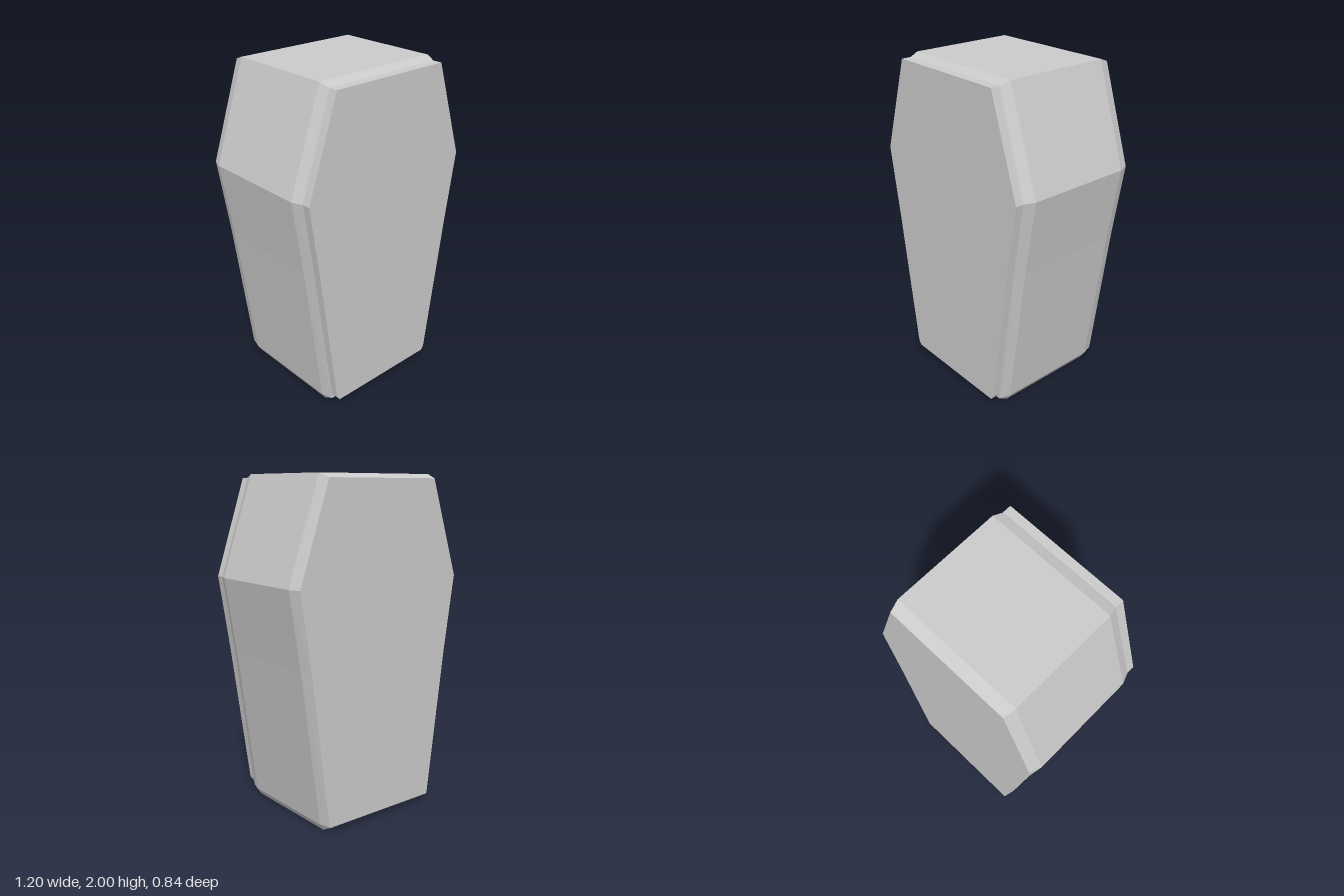
import * as THREE from 'three';

// Right half of an outline, bottom to top, mirrored into a counter-clockwise ring at depth z
function ring(half, z) {
  const left = half.map(([x, y]) => [-x, y]).reverse();
  return [...half, ...left].map(([x, y]) => new THREE.Vector3(x, y, z));
}

// Skin rings ordered from back to front and close both ends with a fan
function loft(rings) {
  const points = [];
  const n = rings[0].length;
  const back = rings[0], front = rings[rings.length - 1];
  const backMid = new THREE.Vector3(0, 1, back[0].z);
  const frontMid = new THREE.Vector3(0, 1, front[0].z);
  for (let i = 0; i < n; i++) {
    const j = (i + 1) % n;
    for (let k = 0; k < rings.length - 1; k++) {
      const a = rings[k], b = rings[k + 1];
      points.push(a[i], a[j], b[j], a[i], b[j], b[i]);
    }
    points.push(backMid, back[j], back[i], frontMid, front[i], front[j]);
  }
  const geometry = new THREE.BufferGeometry().setFromPoints(points);
  geometry.computeVertexNormals();
  return geometry;
}

export function createModel() {
  const group = new THREE.Group();
  const material = new THREE.MeshStandardMaterial({ color: 0xcccccc, flatShading: true });
  const add = (name, geometry) => {
    const mesh = new THREE.Mesh(geometry, material);
    mesh.name = name;
    group.add(mesh);
  };

  // Casket body: full outline in the middle, bevelled towards back and front
  const full = [[0.38, 0], [0.405, 0.04], [0.527, 0.95], [0.6, 1.405], [0.4, 2]];
  const inset = [[0.38, 0.037], [0.387, 0.042], [0.505, 0.95], [0.575, 1.405], [0.385, 1.975]];
  add('casketBody', loft([
    ring(inset, -0.42), ring(full, -0.352), ring(full, 0.305), ring(inset, 0.37),
  ]));

  // Flat lid on the front, with small chamfers at its lower corners
  const lid = [[0.365, 0.05], [0.385, 0.078], [0.505, 0.95], [0.575, 1.405], [0.385, 1.98]];
  add('lid', loft([ring(lid, 0.366), ring(lid, 0.42)]));

  return group;
}
